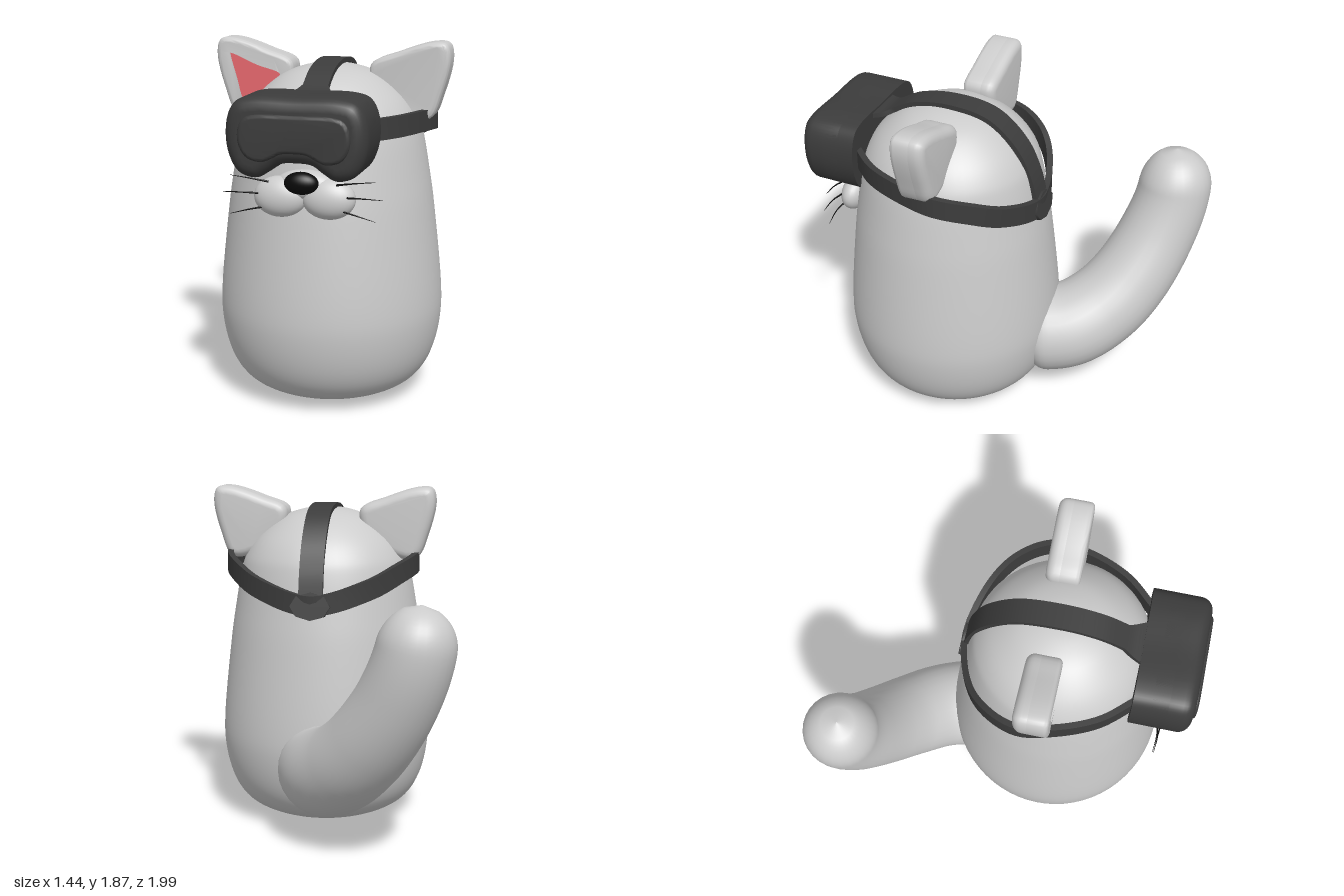
import * as THREE from 'three';
import { mergeVertices, toCreasedNormals } from 'three/addons/utils/BufferGeometryUtils.js';

const material = (color, side = THREE.FrontSide) => new THREE.MeshStandardMaterial({ color, side });
const grey = material(0xcccccc);
const dark = material(0x3c3c3c);
const black = material(0x0a0a0a);
const pink = material(0xe8686e);

const v3 = (p) => new THREE.Vector3(...p);
const v2 = (p) => new THREE.Vector2(...p);
const curve3 = (points) => new THREE.CatmullRomCurve3(points.map(v3));
const AXIS_Z = 0.265;

function add(parent, name, geometry, mat, x = 0, y = 0, z = 0) {
  const mesh = new THREE.Mesh(geometry, mat);
  mesh.name = name;
  mesh.position.set(x, y, z);
  parent.add(mesh);
  return mesh;
}

// Smooth closed outline through a few points
function outline(points, divisions = 48) {
  const c = new THREE.CatmullRomCurve3(points.map(([x, y]) => new THREE.Vector3(x, y, 0)), true, 'centripetal');
  return c.getPoints(divisions).slice(0, -1).map((p) => new THREE.Vector2(p.x, p.y));
}

// Rounded slab between z0 and z1 whose widest section is the outline
function slab(points, z0, z1, bevel, hole) {
  const shape = new THREE.Shape(points);
  if (hole) shape.holes.push(new THREE.Path(hole));
  const g = new THREE.ExtrudeGeometry(shape, {
    depth: z1 - z0 - 2 * bevel, bevelEnabled: bevel > 0, bevelThickness: bevel,
    bevelSize: bevel, bevelOffset: -bevel, bevelSegments: 5,
  });
  g.translate(0, 0, z0 + bevel);
  return toCreasedNormals(g, 0.7);
}

// Flat strap swept along a curve, facing away from the head
function strap(curve, outward, width, thickness, steps = 64) {
  const pos = [], index = [];
  for (let i = 0; i <= steps; i++) {
    const u = i / steps;
    const p = curve.getPointAt(u), t = curve.getTangentAt(u);
    const w = new THREE.Vector3().crossVectors(t, outward(p)).normalize();
    const n = new THREE.Vector3().crossVectors(w, t);
    for (const [a, b] of [[1, 1], [-1, 1], [-1, -1], [1, -1]]) {
      const q = p.clone().addScaledVector(w, a * width(u) / 2).addScaledVector(n, b * thickness / 2);
      pos.push(q.x, q.y, q.z);
    }
    if (i === steps) break;
    for (let j = 0; j < 4; j++) {
      const a = i * 4 + j, b = i * 4 + (j + 1) % 4;
      index.push(a, a + 4, b, b, a + 4, b + 4);
    }
  }
  const g = new THREE.BufferGeometry();
  g.setAttribute('position', new THREE.Float32BufferAttribute(pos, 3));
  g.setIndex(index);
  return toCreasedNormals(g, 0.6);
}

// Round tube whose radius varies along the curve
function taperedTube(curve, radius, segments, sides) {
  const g = new THREE.TubeGeometry(curve, segments, 1, sides);
  const pos = g.attributes.position, v = new THREE.Vector3();
  for (let i = 0; i < pos.count; i++) {
    const u = Math.floor(i / (sides + 1)) / segments;
    const c = curve.getPointAt(u);
    v.fromBufferAttribute(pos, i).sub(c).multiplyScalar(radius(u)).add(c);
    pos.setXYZ(i, v.x, v.y, v.z);
  }
  g.deleteAttribute('uv');
  g.deleteAttribute('normal');
  const merged = mergeVertices(g, 1e-5);
  merged.computeVertexNormals();
  return merged;
}

function ellipsoid(rx, ry, rz) {
  return new THREE.SphereGeometry(1, 32, 20).scale(rx, ry, rz);
}

export function createModel() {
  const model = new THREE.Group();
  model.name = 'catWithHeadset';
  const cat = new THREE.Group();
  cat.name = 'cat';
  cat.position.x = 0.095;
  model.add(cat);

  // Body and head in one turned form
  const profile = new THREE.SplineCurve([
    [0, 0], [0.2, 0.003], [0.33, 0.03], [0.46, 0.1], [0.54, 0.22], [0.583, 0.4], [0.584, 0.6],
    [0.542, 1], [0.513, 1.2], [0.477, 1.4], [0.443, 1.5], [0.37, 1.6], [0.25, 1.695], [0.12, 1.742], [0, 1.755],
  ].map(v2)).getPoints(70);
  profile.forEach((p) => { p.x = Math.max(p.x, 0); });
  add(cat, 'body', new THREE.LatheGeometry(profile, 64), grey, 0, 0, AXIS_Z);

  // Tail, curling up to the right behind the body
  const tailPath = curve3([
    [-0.04, 0.37, -0.16], [-0.12, 0.4, -0.38], [-0.25, 0.5, -0.54], [-0.38, 0.65, -0.65],
    [-0.52, 0.88, -0.74], [-0.61, 1.12, -0.79], [-0.645, 1.37, -0.78],
  ]);
  const tailRadius = (u) => {
    const end = u > 0.86 ? (u - 0.86) / 0.14 : u < 0.08 ? (0.08 - u) / 0.11 : 0;
    return Math.max(0.002, (0.255 - 0.065 * u) * Math.sqrt(Math.max(0, 1 - end * end)));
  };
  add(cat, 'tail', taperedTube(tailPath, tailRadius, 64, 28), grey);

  // Ears, muzzle pads and whiskers on both sides
  const earOutline = [[0.6, 1.86], [0.53, 1.868], [0.34, 1.81], [0.21, 1.75], [0.23, 1.62],
    [0.4, 1.49], [0.52, 1.48], [0.58, 1.61], [0.62, 1.79]];
  const earHole = [[0.565, 1.81], [0.54, 1.815], [0.39, 1.755], [0.25, 1.7], [0.28, 1.6],
    [0.44, 1.52], [0.49, 1.53], [0.53, 1.65]];
  for (const side of [1, -1]) {
    const sideName = side > 0 ? 'left' : 'right';
    const mirror = (pts) => pts.map(([x, y]) => [x * side, y]);
    const outer = outline(mirror(earOutline)), hole = outline(mirror(earHole));

    const ear = new THREE.Group();
    ear.name = sideName + 'Ear';
    cat.add(ear);
    add(ear, 'earBack', slab(outer, 0.12, 0.24, 0.045), grey);
    add(ear, 'earRim', slab(outer, 0.17, 0.3, 0.025, hole), grey);
    add(ear, 'innerEar', slab(hole, 0.22, 0.255, 0), pink);

    const pad = add(cat, sideName + 'MuzzlePad', ellipsoid(0.135, 0.102, 0.075), grey, side * 0.122, 1.15, 0.79);
    pad.rotation.x = -0.15;

    [[0.17, 1.228, 0.365, 1.254], [0.21, 1.168, 0.403, 1.168], [0.185, 1.104, 0.365, 1.06]].forEach(([x0, y0, x1, y1]) => {
      const path = curve3([
        [side * x0, y0, 0.83], [side * (x0 + x1) / 2, (y0 + y1) / 2 + 0.004, 0.846], [side * x1, y1, 0.84],
      ]);
      add(cat, sideName + 'Whisker', taperedTube(path, (u) => 0.0055 * (1 - 0.8 * u), 8, 8), black);
    });
  }
  add(cat, 'muzzleBridge', ellipsoid(0.16, 0.08, 0.08), grey, 0, 1.205, 0.765);
  add(cat, 'nose', ellipsoid(0.086, 0.056, 0.05), black, 0, 1.233, 0.85);

  // Goggles: housing with a notch for the nose, and a front lens
  const half = [[0.22, 1.66], [0.3, 1.635], [0.342, 1.56], [0.345, 1.41], [0.29, 1.295], [0.2, 1.267], [0.135, 1.3], [0.08, 1.337]];
  const goggleOutline = outline([
    ...half, [0, 1.345], ...half.slice().reverse().map(([x, y]) => [-x, y]), [0, 1.66],
  ], 96);
  const lensOutline = goggleOutline.map((p) => new THREE.Vector2(p.x * 0.79, 1.475 + (p.y - 1.475) * 0.58));
  const goggles = new THREE.Group();
  goggles.name = 'goggles';
  cat.add(goggles);
  add(goggles, 'housingBack', slab(goggleOutline, 0.672, 0.85, 0), dark);
  add(goggles, 'housingFront', slab(goggleOutline, 0.7, 0.985, 0.065), dark);
  add(goggles, 'lens', slab(lensOutline, 0.94, 1, 0.02), dark);

  // Head band around the head, dipping at the back
  const bandSide = [[0.26, 1.47, 0.69], [0.4, 1.475, 0.53], [0.49, 1.475, 0.32], [0.52, 1.463, 0.13],
    [0.445, 1.42, -0.04], [0.3, 1.345, -0.165]];
  const bandPath = curve3([
    ...bandSide, [0, 1.265, -0.25], ...bandSide.slice().reverse().map(([x, y, z]) => [-x, y, z]),
  ]);
  add(cat, 'headBand', strap(bandPath, (p) => new THREE.Vector3(p.x, 0, p.z - AXIS_Z), () => 0.108, 0.032, 80), dark);

  // Strap over the crown, flaring where it meets the goggles
  const crownPath = curve3([
    [0, 1.635, 0.69], [0, 1.645, 0.62], [0, 1.728, 0.46], [0, 1.762, 0.25], [0, 1.728, 0.03],
    [0, 1.595, -0.125], [0, 1.44, -0.203], [0, 1.25, -0.25],
  ]);
  add(cat, 'crownStrap', strap(crownPath, (p) => new THREE.Vector3(0, p.y - 1.2, p.z - AXIS_Z),
    (u) => Math.max(0.13, 0.24 - u * 1.2), 0.026), dark);

  // Buckle joining the straps at the back
  const buckle = add(cat, 'buckle', new THREE.CylinderGeometry(0.075, 0.075, 0.036, 8), dark, 0, 1.262, -0.25);
  buckle.scale.x = 1.45;
  buckle.rotation.x = Math.PI / 2 + 0.15;

  return model;
}
